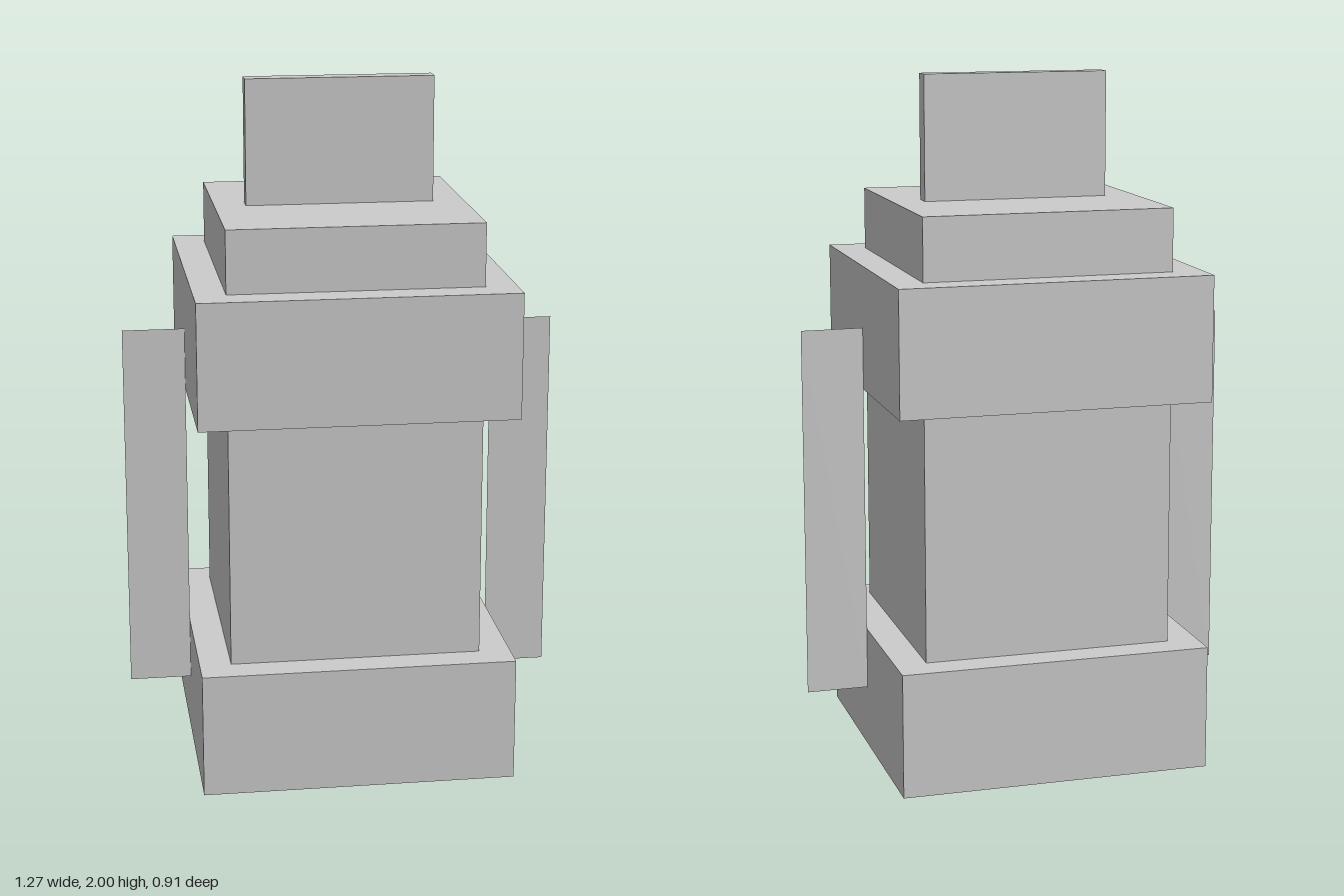
import * as THREE from 'three';

const U = 1 / 11; // design unit: the model is 22 units tall

export function createModel() {
  const group = new THREE.Group();
  const solid = new THREE.MeshStandardMaterial({ color: 0xcccccc, flatShading: true });
  const thin = new THREE.MeshStandardMaterial({ color: 0xcccccc, flatShading: true, side: THREE.DoubleSide });

  // Box centred on the vertical axis, given in units from bottom to top
  const block = (name, width, depth, bottom, top) => {
    const mesh = new THREE.Mesh(new THREE.BoxGeometry(width * U, (top - bottom) * U, depth * U), solid);
    mesh.name = name;
    mesh.position.y = (bottom + top) / 2 * U;
    group.add(mesh);
  };

  // Stacked square body
  block('base', 10, 10, 0, 4);
  block('core', 8, 8, 4, 12);
  block('collar', 10, 10, 12, 16);
  block('cap', 8, 8, 16, 18);

  // Thin upright plate on the cap
  block('topPlate', 6, 0.6, 18, 22);

  // Flat side handles bridging base and collar
  for (const [name, side] of [['leftHandle', 1], ['rightHandle', -1]]) {
    const handle = new THREE.Mesh(new THREE.PlaneGeometry(2 * U, 12 * U), thin);
    handle.name = name;
    handle.position.set(side * 6 * U, 8 * U, 0);
    group.add(handle);
  }

  return group;
}
